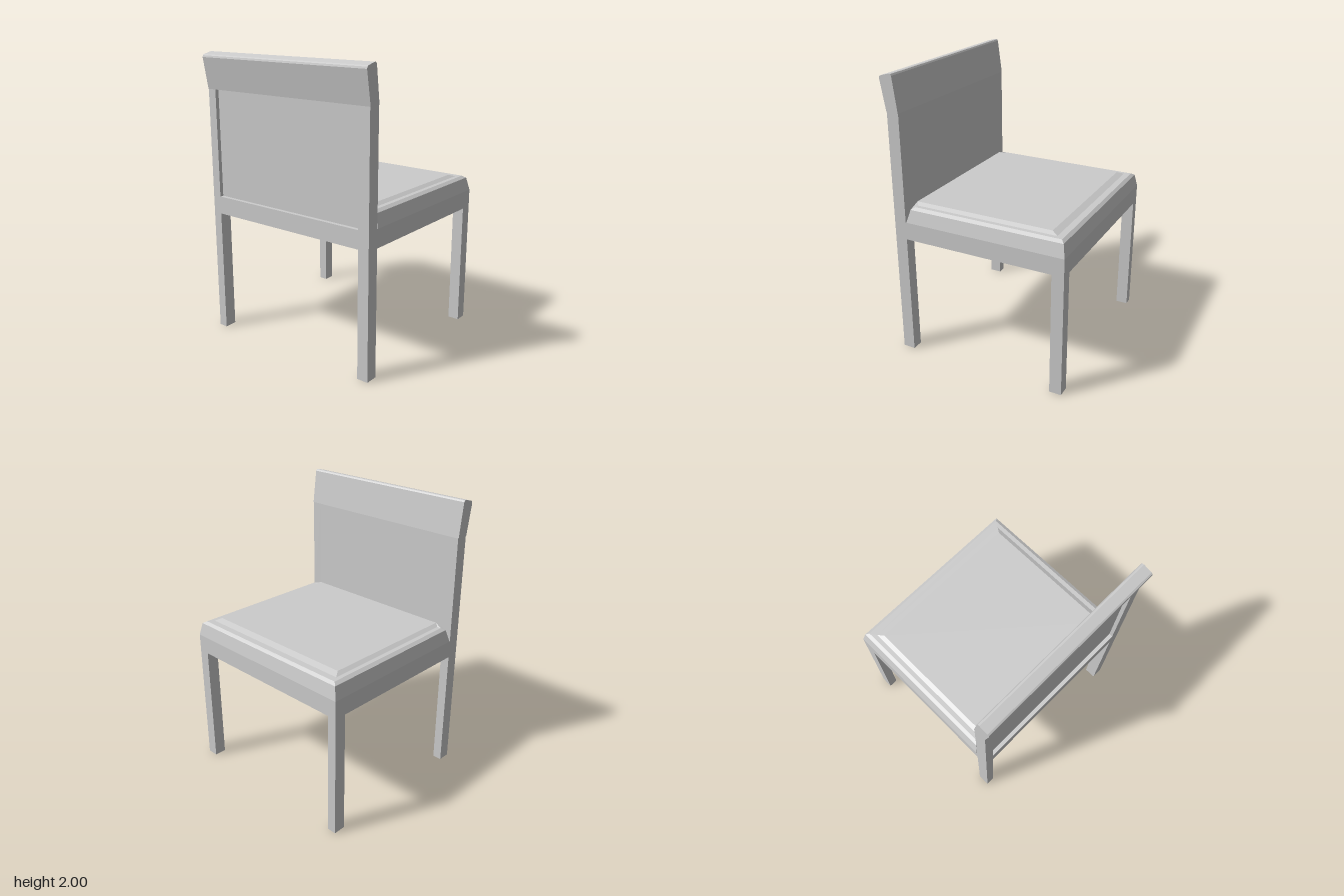
import * as THREE from 'three';

const grey = new THREE.MeshStandardMaterial({ color: 0xcccccc });

// Box given by its minimum and maximum on each axis
function box(name, [x0, x1], [y0, y1], [z0, z1]) {
  const mesh = new THREE.Mesh(new THREE.BoxGeometry(x1 - x0, y1 - y0, z1 - z0), grey);
  mesh.position.set((x0 + x1) / 2, (y0 + y1) / 2, (z0 + z1) / 2);
  mesh.name = name;
  return mesh;
}

// Flat faces from convex polygons, each split into a fan
function fromPolygons(polygons) {
  const pos = [];
  for (const p of polygons) {
    for (let i = 1; i < p.length - 1; i++) pos.push(...p[0], ...p[i], ...p[i + 1]);
  }
  const geo = new THREE.BufferGeometry();
  geo.setAttribute('position', new THREE.Float32BufferAttribute(pos, 3));
  geo.computeVertexNormals();
  return geo;
}

// Bevelled cushion: stacked rings of [half width, height, front z, back z]
function cushionGeometry() {
  const rings = [
    [0.677, 1.0, -0.64, 0.515],
    [0.655, 1.09, -0.622, 0.49],
    [0.63, 1.105, -0.6, 0.465],
    [0.6, 1.105, -0.555, 0.465],
    [0.57, 1.12, -0.51, 0.49],
  ].map(([x, y, f, b]) => [[x, y, b], [x, y, f], [-x, y, f], [-x, y, b]]);
  const polygons = [];
  for (let r = 0; r < 4; r++) {
    const a = rings[r], b = rings[r + 1];
    for (let i = 0; i < 3; i++) polygons.push([a[i], a[i + 1], b[i + 1], b[i]]);
  }
  const left = rings.map((r) => r[0]), right = rings.map((r) => r[3]);
  polygons.push(rings[4]);                                                    // top
  polygons.push([right[0], left[0], left[1], left[4], right[4], right[1]]);   // sloping back
  polygons.push(left.slice(1), right.slice(1).reverse());                     // rear corner notches
  return fromPolygons(polygons);
}

// Leaning top rail: side profile of [z, y] extruded across the width
function topRailGeometry() {
  const profile = [
    [0.52, 1.75], [0.607, 1.75], [0.645, 1.965], [0.642, 1.977], [0.632, 1.984],
    [0.57, 2.0], [0.558, 1.998], [0.551, 1.988],
  ];
  const shape = new THREE.Shape(profile.map(([z, y]) => new THREE.Vector2(-z, y)));
  const geo = new THREE.ExtrudeGeometry(shape, { depth: 1.36, bevelEnabled: false });
  geo.translate(0, 0, -0.68);
  geo.rotateY(Math.PI / 2);
  return geo;
}

export function createModel() {
  const group = new THREE.Group();
  group.name = 'chair';

  const sides = [['right', [-0.677, -0.612]], ['left', [0.597, 0.677]]];
  const backZ = [0.52, 0.607], frontZ = [-0.64, -0.555];

  // Legs and back posts
  for (const [side, x] of sides) {
    group.add(box(side + 'RearLeg', x, [0, 0.875], backZ));
    group.add(box(side + 'FrontLeg', x, [0, 0.875], frontZ));
    group.add(box(side + 'BackPost', x, [1.0, 1.75], backZ));
  }

  // Seat frame and recessed back panel
  group.add(box('seatFrame', [-0.677, 0.677], [0.875, 1.0], [-0.64, 0.607]));
  group.add(box('backPanel', [-0.612, 0.597], [1.0, 1.75], [0.52, 0.58]));

  const cushion = new THREE.Mesh(cushionGeometry(), grey);
  cushion.name = 'seatCushion';
  group.add(cushion);

  const rail = new THREE.Mesh(topRailGeometry(), grey);
  rail.name = 'topRail';
  group.add(rail);

  return group;
}
